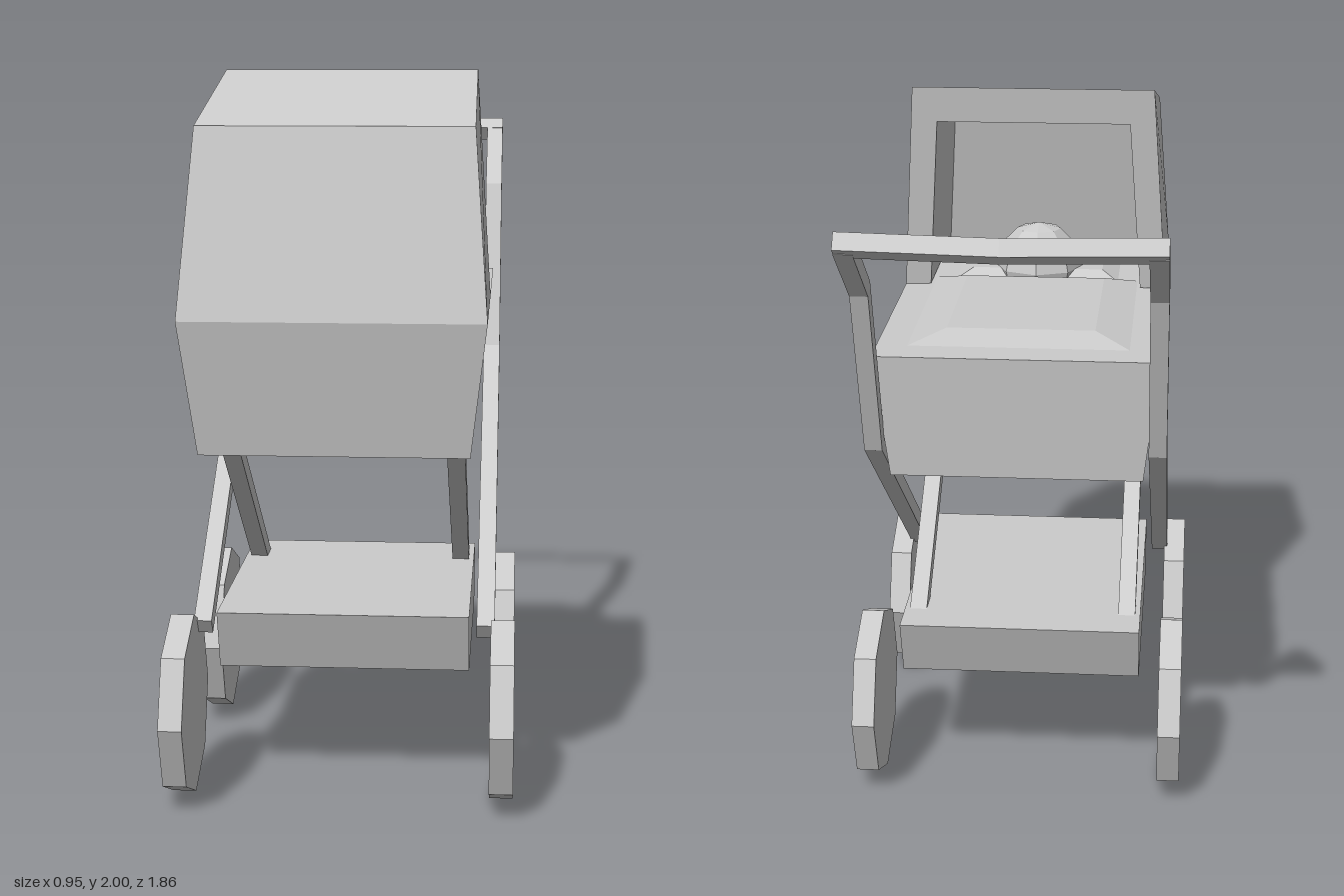
import * as THREE from 'three';

const grey = new THREE.MeshStandardMaterial({ color: 0xcccccc, flatShading: true });
const thin = new THREE.MeshStandardMaterial({ color: 0xcccccc, flatShading: true, side: THREE.DoubleSide });

// Box whose bottom and top rectangles differ: [halfWidth, zBack, zFront]
function frustum(y0, y1, bottom, top) {
  const g = new THREE.BoxGeometry(2, 2, 2);
  const p = g.attributes.position;
  for (let i = 0; i < p.count; i++) {
    const [w, zb, zf] = p.getY(i) > 0 ? top : bottom;
    p.setXYZ(i, p.getX(i) * w, p.getY(i) > 0 ? y1 : y0, p.getZ(i) > 0 ? zf : zb);
  }
  g.computeVertexNormals();
  return g;
}

// Flat bar with mitred bends, following [z, y] points, centred on x
function bar(path, thickness, width, x) {
  const pts = path.map(([z, y]) => new THREE.Vector2(z, y));
  const normal = (a, b) => {
    const d = b.clone().sub(a).normalize();
    return new THREE.Vector2(-d.y, d.x);
  };
  const left = [], right = [];
  pts.forEach((p, i) => {
    const n0 = normal(pts[Math.max(i - 1, 0)], pts[Math.max(i, 1)]);
    const last = pts.length - 1;
    const n1 = normal(pts[Math.min(i, last - 1)], pts[Math.min(i + 1, last)]);
    const m = n0.clone().add(n1).normalize();
    m.multiplyScalar(thickness / 2 / m.dot(n0));
    left.push(p.clone().add(m));
    right.unshift(p.clone().sub(m));
  });
  const g = new THREE.ExtrudeGeometry(new THREE.Shape([...left, ...right]), { depth: width, bevelEnabled: false });
  g.translate(0, 0, -width / 2);
  g.rotateY(-Math.PI / 2);
  g.translate(x, 0, 0);
  return g;
}

// Open-backed hood: outer and inner shells joined by a rim
function hoodGeometry() {
  // [z, y, halfWidth] from front bottom over the top to rear bottom
  const outer = [[0.93, 1.375, 0.397], [0.81, 1.865, 0.361], [0.2, 2, 0.355], [0.3, 1.375, 0.397]];
  const inner = [[0.85, 1.378, 0.32], [0.75, 1.8, 0.29], [0.217, 1.895, 0.285], [0.3, 1.378, 0.32]];
  const pos = [];
  const at = ([z, y, w], s) => [s * w, y, z];
  const quad = (a, b, c, d) => pos.push(...a, ...b, ...c, ...a, ...c, ...d);
  // Front and top panels
  for (let i = 0; i < 2; i++) {
    quad(at(outer[i], -1), at(outer[i], 1), at(outer[i + 1], 1), at(outer[i + 1], -1));
    quad(at(inner[i], 1), at(inner[i], -1), at(inner[i + 1], -1), at(inner[i + 1], 1));
  }
  // Side panels
  quad(...[0, 3, 2, 1].map(i => at(outer[i], 1)));
  quad(...[0, 1, 2, 3].map(i => at(outer[i], -1)));
  quad(...[0, 1, 2, 3].map(i => at(inner[i], 1)));
  quad(...[0, 3, 2, 1].map(i => at(inner[i], -1)));
  // Rear rim
  quad(at(outer[2], -1), at(outer[2], 1), at(inner[2], 1), at(inner[2], -1));
  quad(at(outer[2], 1), at(outer[3], 1), at(inner[3], 1), at(inner[2], 1));
  quad(at(outer[3], -1), at(outer[2], -1), at(inner[2], -1), at(inner[3], -1));
  const g = new THREE.BufferGeometry();
  g.setAttribute('position', new THREE.Float32BufferAttribute(pos, 3));
  g.computeVertexNormals();
  return g;
}

export function createModel() {
  const model = new THREE.Group();
  const add = (name, geometry, material = grey) => {
    const mesh = new THREE.Mesh(geometry, material);
    mesh.name = name;
    model.add(mesh);
    return mesh;
  };

  // Carriage body
  add('tub', frustum(1.015, 1.375, [0.355, -0.41, 0.85], [0.397, -0.45, 0.93]));
  add('hood', hoodGeometry(), thin);
  add('blanket', frustum(1.37, 1.4, [0.33, -0.36, 0.4], [0.21, -0.24, 0.32]));
  add('pillow', frustum(1.37, 1.4, [0.26, 0.36, 0.8], [0.2, 0.42, 0.74]));
  add('babyHead', new THREE.SphereGeometry(0.135, 8, 6)).position.set(0, 1.4, 0.47);

  // Plate under the tub and lower basket
  add('supportPlate', frustum(0.975, 1.016, [0.28, -0.14, 0.6], [0.28, -0.14, 0.6]));
  add('basket', frustum(0.345, 0.515, [0.35, -0.265, 0.5], [0.35, -0.33, 0.565]));

  // Frame and wheels, mirrored
  for (const [side, s] of [['left', 1], ['right', -1]]) {
    add(side + 'HandleStrut',
      bar([[0.51, 0.46], [-0.435, 1.12], [-0.62, 1.615], [-0.865, 1.795]], 0.05, 0.05, s * 0.395));
    add(side + 'CrossStrut', bar([[0.565, 1.02], [-0.2, 0.49]], 0.05, 0.05, s * 0.31));
    for (const [end, z] of [['Front', 0.58], ['Rear', -0.225]]) {
      const wheel = add(side + end + 'Wheel', new THREE.CylinderGeometry(0.255, 0.255, 0.065, 8));
      wheel.rotation.z = Math.PI / 2;
      wheel.position.set(s * 0.443, 0.258, z);
    }
  }

  // Push bar, bowed backwards in the middle
  const push = new THREE.BoxGeometry(0.84, 0.05, 0.05, 2, 1, 1);
  push.rotateX(0.63);
  const p = push.attributes.position;
  for (let i = 0; i < p.count; i++) if (Math.abs(p.getX(i)) < 0.01) p.setZ(i, p.getZ(i) - 0.035);
  push.translate(0, 1.795, -0.86);
  push.computeVertexNormals();
  add('pushBar', push);

  return model;
}
